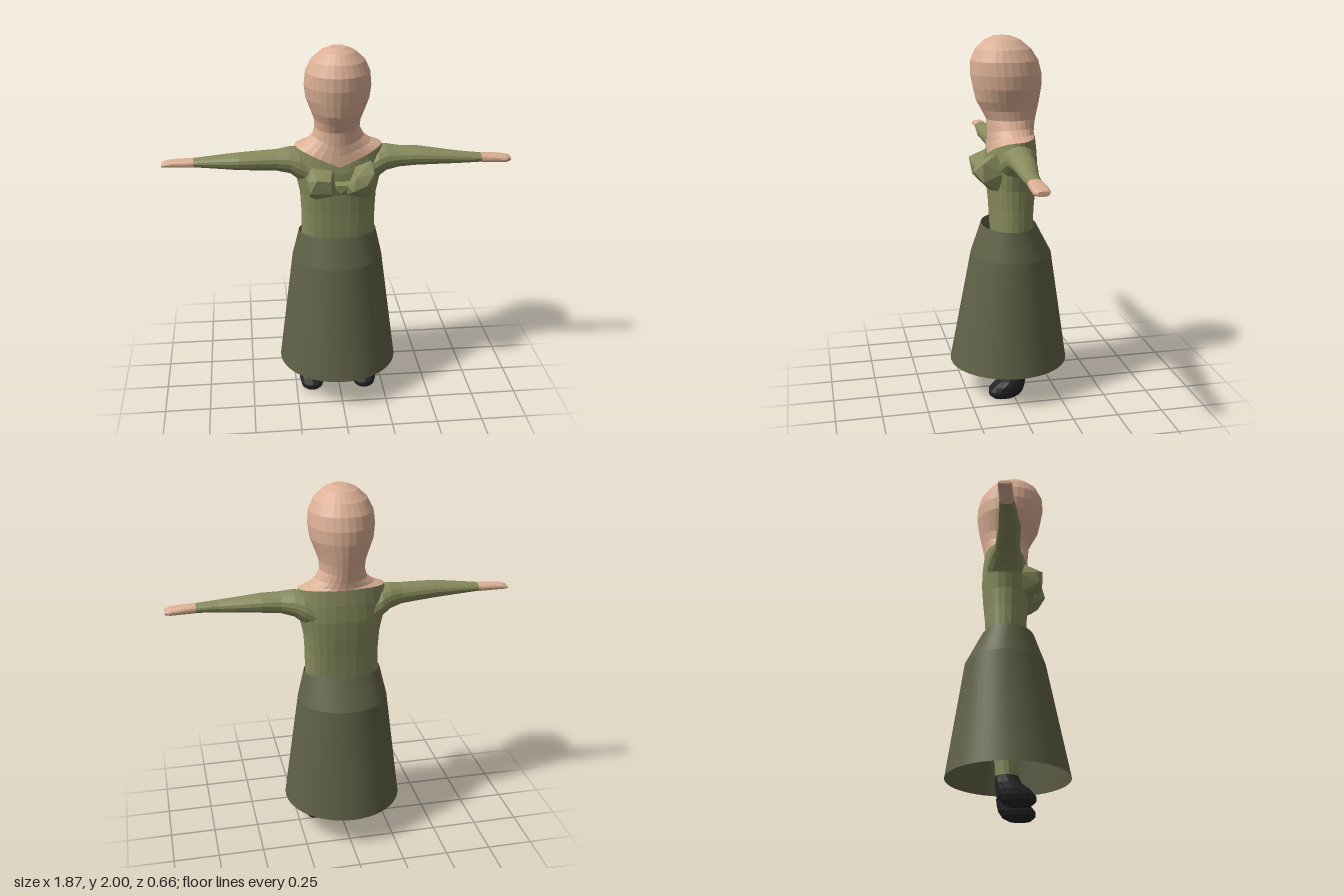
import * as THREE from 'three';
import { ConvexGeometry } from 'three/addons/geometries/ConvexGeometry.js';

const mat = (name, color, side = THREE.FrontSide) => {
  const m = new THREE.MeshStandardMaterial({ color, side });
  m.name = name;
  return m;
};

// One cross-section: centre x, half width rx, front z, back z, and power n (2 = ellipse).
// yf and yb move its front and back, making a V in front and a scoop behind.
function section({ y, cx = 0, rx, zf, zb, n = 2, yf = y, yb = y }, sides) {
  const pow = (v) => Math.sign(v) * Math.abs(v) ** (2 / n);
  return Array.from({ length: sides }, (_, i) => {
    const a = (i / sides) * Math.PI * 2;
    const s = pow(Math.sin(a)), c = pow(Math.cos(a));
    const t = Math.abs(s);
    const py = Math.cos(a) > 0 ? yf + (y - yf) * t : yb + (y - yb) * t ** 3;
    return [cx + rx * s, py, (zf + zb) / 2 + ((zf - zb) / 2) * c];
  });
}

// Skin over a stack of cross-sections, listed from top to bottom.
function loft(rings, { sides = 28, capTop = false, capEnd = false, flat = true } = {}) {
  const pts = rings.map((r) => section(r, sides));
  const pos = pts.flat(2), idx = [];
  for (let i = 0; i < rings.length - 1; i++) {
    for (let j = 0; j < sides; j++) {
      const k = (j + 1) % sides;
      const a = i * sides + j, b = a + sides, c = (i + 1) * sides + k, d = i * sides + k;
      idx.push(a, b, c, a, c, d);
    }
  }
  const cap = (row, top) => {
    const mid = pos.length / 3;
    for (let k = 0; k < 3; k++) pos.push(pts[row].reduce((t, p) => t + p[k], 0) / sides);
    for (let j = 0; j < sides; j++) {
      const a = row * sides + j, b = row * sides + (j + 1) % sides;
      idx.push(mid, top ? a : b, top ? b : a);
    }
  };
  if (capTop) cap(0, true);
  if (capEnd) cap(rings.length - 1, false);
  let g = new THREE.BufferGeometry();
  g.setAttribute('position', new THREE.Float32BufferAttribute(pos, 3));
  g.setIndex(idx);
  if (flat) g = g.toNonIndexed();
  g.computeVertexNormals();
  return g;
}

const ring = (y, rx, zf, zb, extra = {}) => ({ y, rx, zf, zb, ...extra });

export function createModel() {
  const skin = mat('skin', 0xdcb095);
  const blouse = mat('olive blouse', 0x878b5c);
  const skirt = mat('dark olive skirt', 0x606147, THREE.DoubleSide);
  const boot = mat('black boot', 0x232325);
  const model = new THREE.Group();
  const add = (name, geometry, material, parent = model) => {
    const m = new THREE.Mesh(geometry, material);
    m.name = name;
    parent.add(m);
    return m;
  };

  // Head, neck and torso share the neckline section
  const neckline = ring(1.465, 0.235, 0.115, -0.135, { yf: 1.37, yb: 1.475 });
  const c = { cx: -0.005 };
  add('headAndNeck', loft([
    ring(1.997, 0.04, 0.08, -0.01, c),
    ring(1.975, 0.09, 0.13, -0.065, c),
    ring(1.93, 0.14, 0.175, -0.12, c),
    ring(1.87, 0.169, 0.202, -0.16, c),
    ring(1.8, 0.176, 0.203, -0.178, c),
    ring(1.73, 0.168, 0.19, -0.178, c),
    ring(1.66, 0.142, 0.174, -0.168, c),
    ring(1.61, 0.124, 0.146, -0.158, c),
    ring(1.56, 0.12, 0.12, -0.147, c),
    ring(1.515, 0.138, 0.113, -0.138, { yf: 1.48 }),
    ring(1.485, 0.178, 0.112, -0.135, { yf: 1.43 }),
    neckline,
  ], { capTop: true }), skin);
  add('blouseBody', loft([
    neckline,
    ring(1.39, 0.245, 0.122, -0.145, { yf: 1.33 }),
    ring(1.3, 0.23, 0.122, -0.147, { n: 2.3 }),
    ring(1.2, 0.208, 0.115, -0.14, { n: 2.4 }),
    ring(1.1, 0.202, 0.105, -0.13, { n: 2.4 }),
    ring(0.94, 0.202, 0.095, -0.12, { n: 2.4 }),
  ], { capEnd: true }), blouse);

  // Angular gathers across the chest
  const hull = (points) => new ConvexGeometry(points.map((p) => new THREE.Vector3(...p)));
  add('rightChestGather', hull([
    [-0.185, 1.3, 0.06], [-0.15, 1.37, 0.09], [-0.04, 1.36, 0.11], [-0.17, 1.31, 0.16],
    [-0.13, 1.33, 0.195], [-0.06, 1.32, 0.195], [-0.165, 1.25, 0.175], [-0.05, 1.25, 0.19],
    [-0.03, 1.21, 0.11], [-0.16, 1.2, 0.09], [-0.13, 1.2, 0.13], [-0.03, 1.28, 0.17],
  ]), blouse);
  add('leftChestGather', hull([
    [0.19, 1.3, 0.06], [0.165, 1.4, 0.1], [0.08, 1.375, 0.12], [0.175, 1.35, 0.17],
    [0.08, 1.34, 0.195], [0.13, 1.3, 0.213], [0.175, 1.25, 0.17], [0.06, 1.26, 0.195],
    [0.03, 1.21, 0.11], [0.165, 1.2, 0.09], [0.13, 1.2, 0.13], [0.035, 1.28, 0.165],
  ]), blouse);
  add('centreChestGather', hull([
    [-0.06, 1.3, 0.11], [0.06, 1.3, 0.11], [-0.05, 1.28, 0.15], [0.05, 1.28, 0.15],
    [-0.06, 1.205, 0.1], [0.06, 1.205, 0.1], [0, 1.235, 0.15],
  ]), blouse);

  // Skirt, open at the waist and the hem
  const waist = ring(0.975, 0.212, 0.148, -0.15, c);
  const hip = ring(0.81, 0.25, 0.207, -0.237, c);
  const hem = ring(0.18, 0.33, 0.33, -0.33, c);
  const smooth = { sides: 48, flat: false };
  add('skirtYoke', loft([waist, hip], smooth), skirt);
  add('skirtFlare', loft([hip, hem], smooth), skirt);

  for (const [side, s] of [['left', 1], ['right', -1]]) {
    // Arm, lofted downward then swung out to the side
    // reach, top, bottom, front z and back z
    const limb = (rows) => rows.map(([x, top, low, zf, zb]) =>
      ring(-x, (top - low) / 2, zf, zb, { cx: s * (top + low) / 2 }));
    const left = s > 0;
    const wrist = left ? [0.77, 1.4, 1.352, 0.078, 0.004] : [0.77, 1.41, 1.365, 0.043, -0.034];
    const arm = new THREE.Group();
    arm.name = side + 'Arm';
    arm.rotation.z = s * Math.PI / 2;
    model.add(arm);
    add('sleeve', loft(limb([
      [0.15, 1.41, 1.24, 0.09, -0.12],
      [0.21, 1.447, 1.27, 0.085, -0.11],
      [0.26, 1.452, 1.31, 0.075, -0.09],
      [0.33, 1.443, 1.33, 0.07, -0.065],
      [0.43, 1.44, 1.338, 0.073, -0.055],
      left ? [0.53, 1.427, 1.342, 0.075, -0.035] : [0.53, 1.436, 1.345, 0.075, -0.045],
      left ? [0.65, 1.412, 1.347, 0.077, -0.008] : [0.65, 1.424, 1.355, 0.058, -0.04],
      wrist,
    ]), { sides: 16 }), blouse, arm);
    add('hand', loft(limb([
      wrist,
      left ? [0.85, 1.394, 1.352, 0.083, 0] : [0.85, 1.406, 1.368, 0.036, -0.036],
      left ? [0.905, 1.388, 1.35, 0.086, 0.002] : [0.91, 1.4, 1.37, 0.034, -0.038],
      left ? [0.932, 1.38, 1.355, 0.07, 0.012] : [0.938, 1.39, 1.372, 0.03, -0.034],
    ]).map((r) => ({ ...r, n: 2.6 })), { sides: 16, capEnd: true }), skin, arm);

    // Leg and boot
    const leg = new THREE.Group();
    leg.name = side + 'Leg';
    leg.position.x = left ? 0.143 : -0.16;
    model.add(leg);
    add('stocking', loft([
      ring(0.95, 0.085, 0.08, -0.1, { cx: -s * 0.05 }),
      ring(0.7, 0.085, 0.08, -0.09, { cx: -s * 0.03 }),
      ring(0.45, 0.068, 0.06, -0.075),
      ring(0.3, 0.064, 0.055, -0.075),
      ring(0.13, 0.058, 0.05, -0.058),
    ], { sides: 14, capTop: true }), blouse, leg);
    add('boot', loft([
      ring(0.145, 0.063, 0.055, -0.064, { cx: -s * 0.004 }),
      ring(0.105, 0.067, 0.075, -0.064),
      ring(0.075, 0.07, 0.118, -0.06),
      ring(0.045, 0.069, 0.143, -0.052),
      ring(0.02, 0.062, 0.142, -0.035),
      ring(0, 0.042, 0.118, 0),
    ].map((r) => ({ ...r, n: 2.5 })), { sides: 16, capTop: true, capEnd: true }), boot, leg);
  }
  return model;
}
